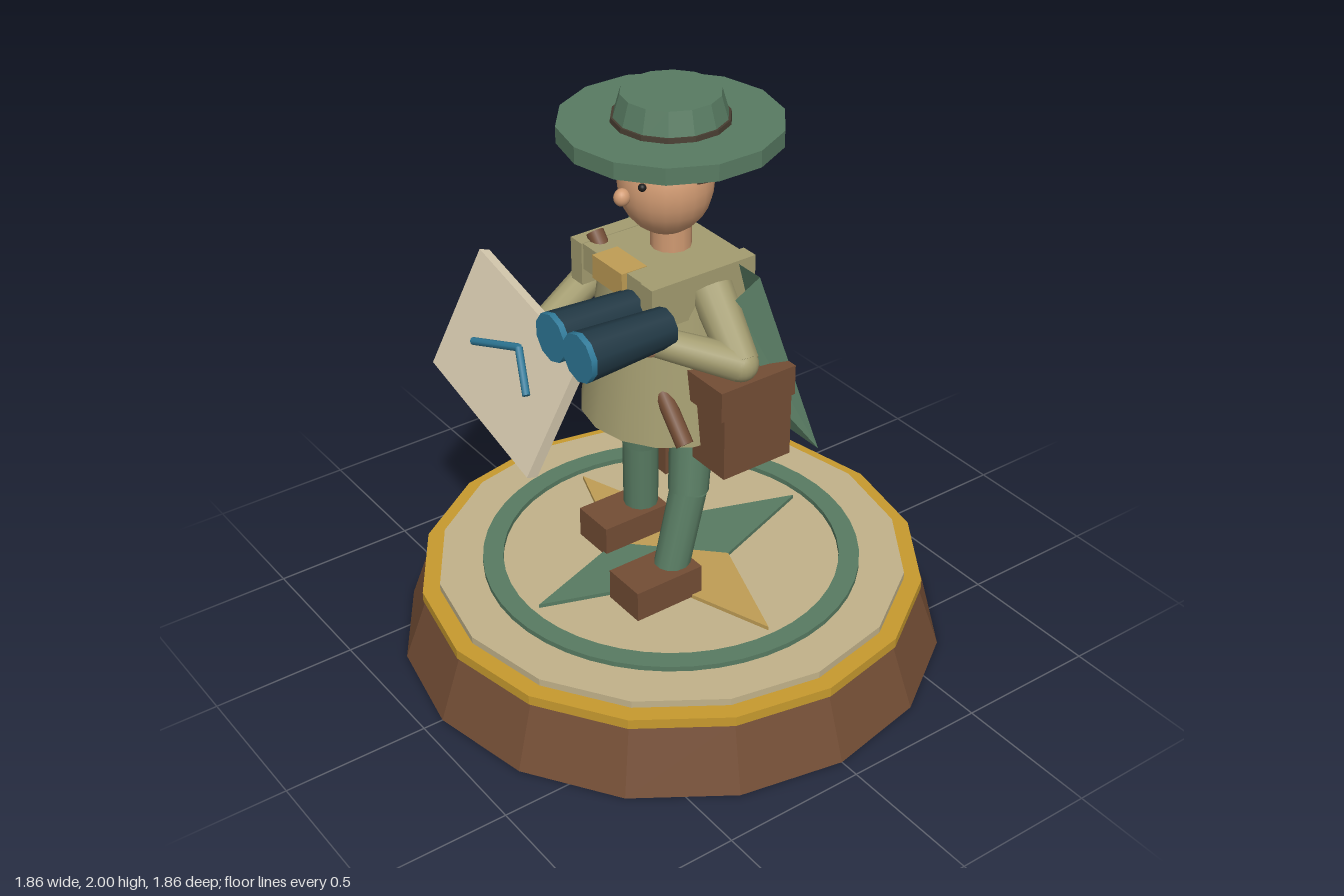
import * as THREE from 'three';

const BROWN = 0x734d35, GOLD = 0xc79a2e, CREAM = 0xc2b28a, GREEN = 0x587b62, KHAKI = 0xa39c70;
const SKIN = 0xd09a72, BLUE = 0x2f7a99, NAVY = 0x213844, DARK = 0x463c30, SCARF = 0xbf9d55;

const mat = (color, flat = false) => new THREE.MeshStandardMaterial({ color, flatShading: flat });

export function createModel() {
  const model = new THREE.Group();

  function add(name, geo, color, pos = [0, 0, 0], flat = false, parent = model) {
    const mesh = new THREE.Mesh(geo, mat(color, flat));
    mesh.name = name;
    mesh.position.set(...pos);
    parent.add(mesh);
    return mesh;
  }
  // Box from its minimum and maximum corners
  function box(name, a, b, color) {
    const size = b.map((v, i) => v - a[i]);
    return add(name, new THREE.BoxGeometry(...size), color, a.map((v, i) => v + size[i] / 2), true);
  }
  // Upright tapered drum between two heights
  function drum(name, rTop, rBottom, y0, y1, sides, color, flat = true) {
    return add(name, new THREE.CylinderGeometry(rTop, rBottom, y1 - y0, sides), color, [0, (y0 + y1) / 2, 0], flat);
  }
  // Tapered rod from point a to point b
  function rod(name, a, b, ra, rb, color, sides = 12, parent = model) {
    const p = new THREE.Vector3(...a), q = new THREE.Vector3(...b);
    const d = q.clone().sub(p);
    const mesh = add(name, new THREE.CylinderGeometry(rb, ra, d.length(), sides), color,
      p.clone().add(q).multiplyScalar(0.5).toArray(), false, parent);
    mesh.quaternion.setFromUnitVectors(new THREE.Vector3(0, 1, 0), d.normalize());
    return mesh;
  }
  function ball(name, pos, r, color, scale = [1, 1, 1]) {
    const mesh = add(name, new THREE.SphereGeometry(r, 20, 14), color, pos);
    mesh.scale.set(...scale);
    return mesh;
  }
  // Flat plate lying on the ground plane
  function plate(name, shape, y, depth, color) {
    const geo = new THREE.ExtrudeGeometry(shape, { depth, bevelEnabled: false, curveSegments: 24 });
    return add(name, geo.rotateX(-Math.PI / 2), color, [0, y, 0], true);
  }

  // Base
  drum('basePlinth', 0.85, 0.93, 0, 0.23, 16, BROWN);
  drum('baseRim', 0.86, 0.86, 0.225, 0.26, 16, GOLD);
  drum('baseTop', 0.8, 0.8, 0.25, 0.285, 16, CREAM);
  const ring = new THREE.Shape().absarc(0, 0, 0.645, 0, Math.PI * 2);
  ring.holes.push(new THREE.Path().absarc(0, 0, 0.575, 0, Math.PI * 2, true));
  plate('compassRing', ring, 0.285, 0.018, GREEN);
  for (let i = 0; i < 4; i++) {
    const kite = new THREE.Shape([[0, 0], [0.14, 0.14], [0, 0.54], [-0.14, 0.14]].map(p => new THREE.Vector2(...p)));
    plate('compassPoint', kite, 0.285, 0.014, i % 2 ? SCARF : GREEN).rotation.y = i * Math.PI / 2;
  }

  // Small chest on the base
  box('chest', [-0.61, 0.285, -0.44], [-0.39, 0.43, -0.26], BROWN);
  box('chestTop', [-0.57, 0.43, -0.395], [-0.43, 0.47, -0.3], SCARF);

  // Legs and boots
  const legs = [
    { side: 'right', hip: [-0.14, 0.93, 0], knee: [-0.17, 0.655, 0.005], ankle: [-0.178, 0.38, 0], boot: [-0.26, -0.06] },
    { side: 'left', hip: [0.12, 0.93, 0], knee: [0.165, 0.655, 0.05], ankle: [0.172, 0.38, 0.125], boot: [0.095, 0.06] },
  ];
  for (const { side, hip, knee, ankle, boot } of legs) {
    rod(side + 'Thigh', hip, knee, 0.075, 0.067, GREEN);
    rod(side + 'Shin', knee, ankle, 0.062, 0.06, GREEN);
    box(side + 'Boot', [boot[0], 0.29, boot[1]], [boot[0] + 0.16, 0.4, boot[1] + 0.26], BROWN);
  }

  // Coat with shoulder yoke, lapels and scarf
  drum('coat', 0.23, 0.3, 0.905, 1.4, 16, KHAKI, false);
  box('yoke', [-0.22, 1.39, -0.15], [0.22, 1.48, 0.225], KHAKI);
  for (const s of [-1, 1]) {
    const x = s * 0.19;
    box('shoulderFlap', [x - 0.03, 1.335, -0.165], [x + 0.03, 1.482, 0.232], KHAKI);
  }
  box('scarf', [-0.08, 1.4, 0.15], [0.08, 1.482, 0.245], SCARF);
  rod('shoulderStrap', [-0.175, 1.5, 0.17], [0.3, 0.945, 0.165], 0.029, 0.029, BROWN);

  // Cape: back panel with a short fold at each side
  const section = t => [
    [-0.3 - 0.08 * t, 1.4 - 0.35 * t, -0.02 - 0.1 * t], [-0.325 - 0.115 * t, 1.47 - 0.63 * t, -0.1 - 0.165 * t],
    [0.325 + 0.115 * t, 1.47 - 0.63 * t, -0.1 - 0.165 * t], [0.3 + 0.08 * t, 1.4 - 0.35 * t, -0.02 - 0.1 * t],
  ];
  const cape = new THREE.BufferGeometry();
  const index = [];
  for (let i = 0; i < 3; i++) index.push(i, i + 1, i + 4, i + 1, i + 5, i + 4);
  cape.setAttribute('position', new THREE.Float32BufferAttribute([...section(0), ...section(1)].flat(), 3));
  cape.setIndex(index);
  cape.computeVertexNormals();
  add('cape', cape, GREEN, [0, 0, 0], true).material.side = THREE.DoubleSide;

  // Arms
  const arms = [
    { side: 'right', shoulder: [-0.21, 1.41, 0], elbow: [-0.39, 1.22, 0.03], hand: [-0.29, 1.12, 0.345] },
    { side: 'left', shoulder: [0.21, 1.41, 0], elbow: [0.39, 1.235, 0.02], hand: [0.23, 1.325, 0.25] },
  ];
  for (const { side, shoulder, elbow, hand } of arms) {
    rod(side + 'UpperArm', shoulder, elbow, 0.07, 0.06, KHAKI);
    ball(side + 'Elbow', elbow, 0.057, KHAKI);
    rod(side + 'Forearm', elbow, hand, 0.058, 0.048, KHAKI);
    ball(side + 'Hand', hand, 0.055, SKIN);
  }

  // Satchel
  box('satchel', [0.24, 0.84, -0.175], [0.405, 1.1, 0.09], BROWN);
  box('satchelFlap', [0.23, 1.065, -0.18], [0.415, 1.17, 0.11], BROWN);

  // Binoculars
  for (const x of [0.11, 0.257]) {
    rod('binocularTube', [x, 1.37, 0.205], [x, 1.37, 0.515], 0.063, 0.08, NAVY, 10);
    rod('binocularLens', [x, 1.37, 0.51], [x, 1.37, 0.53], 0.08, 0.08, BLUE, 10);
  }
  rod('binocularBridge', [0.11, 1.37, 0.35], [0.257, 1.37, 0.35], 0.03, 0.03, NAVY);

  // Map board with its route line
  const map = new THREE.Group();
  map.name = 'mapBoard';
  map.position.set(-0.285, 1.065, 0.445);
  map.rotation.set(-0.37, 0, -0.17);
  model.add(map);
  add('board', new THREE.BoxGeometry(0.65, 0.45, 0.04), 0xdacdb2, [0, 0, 0], true, map);
  const route = [[-0.158, -0.027, 0.035], [0.06, 0.095, 0.035], [0.184, -0.006, 0.035]];
  for (let i = 0; i < 2; i++) rod('routeLine', route[i], route[i + 1], 0.013, 0.013, BLUE, 8, map);

  // Head
  rod('neck', [0, 1.46, 0], [0, 1.58, 0], 0.066, 0.066, SKIN);
  ball('head', [0, 1.705, 0.02], 0.152, SKIN, [1, 1.12, 1]);
  ball('nose', [0, 1.695, 0.185], 0.025, SKIN, [1, 1.15, 1.1]);
  for (const s of [-1, 1]) ball('eye', [s * 0.065, 1.745, 0.155], 0.013, 0x1c1c1c);
  const hair = add('hair', new THREE.SphereGeometry(0.157, 20, 8, 0, Math.PI * 2, 0, Math.PI / 2), DARK, [0, 1.745, -0.035]);
  hair.scale.set(1, 0.95, 0.77);
  hair.material.side = THREE.DoubleSide;

  // Hat
  drum('hatBrim', 0.355, 0.355, 1.855, 1.91, 14, GREEN);
  drum('hatBand', 0.187, 0.19, 1.905, 1.925, 14, DARK);
  drum('hatCrown', 0.158, 0.184, 1.91, 2, 14, GREEN);

  return model;
}
